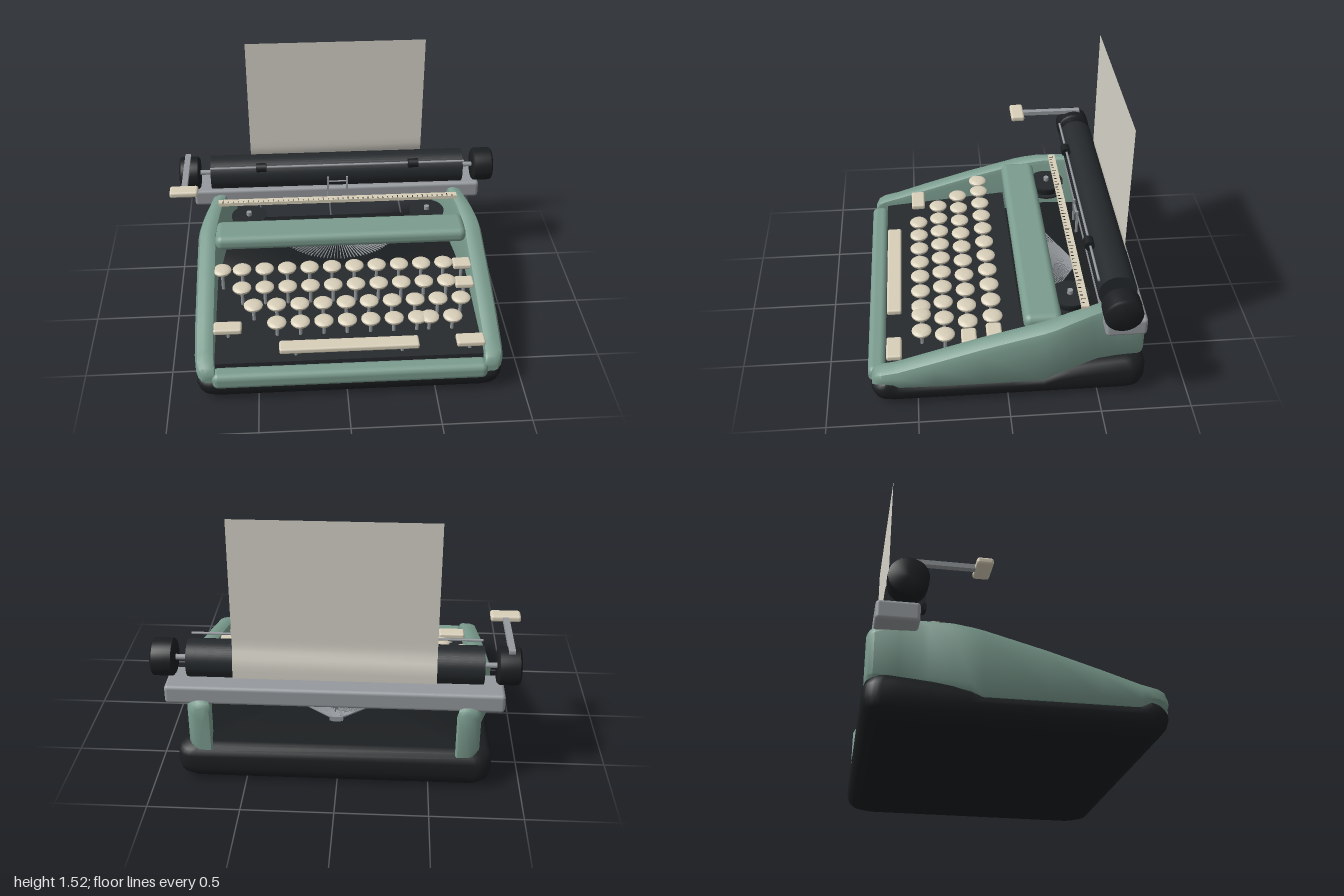
import * as THREE from 'three';
import { toCreasedNormals } from 'three/addons/utils/BufferGeometryUtils.js';
import { RoundedBoxGeometry } from 'three/addons/geometries/RoundedBoxGeometry.js';

const mat = (color) => new THREE.MeshStandardMaterial({ color });
const green = mat(0x7b9c8f), dark = mat(0x25292c), black = mat(0x1b1e20);
const steel = mat(0x95999d), cream = mat(0xd8cfb9);
const CX = 0.017; // body centre line

export function createModel() {
  const model = new THREE.Group();
  const add = (name, geo, material, x = 0, y = 0, z = 0, parent = model) => {
    const m = new THREE.Mesh(geo, material);
    m.name = name;
    m.position.set(x, y, z);
    parent.add(m);
    return m;
  };
  const group = (name) => {
    const g = new THREE.Group();
    g.name = name;
    model.add(g);
    return g;
  };
  const rbox = (w, h, d, r) => new RoundedBoxGeometry(w, h, d, 3, r);
  const cylX = (r, len, seg = 24) => new THREE.CylinderGeometry(r, r, len, seg).rotateZ(Math.PI / 2);

  // Piecewise linear lookup over [[z, value], ...] with z falling
  const lookup = (table, z) => {
    if (z >= table[0][0]) return table[0][1];
    for (let i = 1; i < table.length; i++) {
      const [z0, a] = table[i - 1], [z1, b] = table[i];
      if (z >= z1) return a + (b - a) * (z0 - z) / (z0 - z1);
    }
    return table[table.length - 1][1];
  };

  // Closed loft through rings of points, capped around each end's centroid
  const loft = (rings) => {
    const n = rings[0].length, pos = [];
    const tri = (...pts) => pts.forEach((p) => pos.push(...p));
    for (let k = 0; k + 1 < rings.length; k++)
      for (let i = 0; i < n; i++) {
        const j = (i + 1) % n, p = rings[k], q = rings[k + 1];
        tri(p[i], q[i], p[j]);
        tri(p[j], q[i], q[j]);
      }
    const cap = (ring, flip) => {
      const c = [0, 1, 2].map((a) => ring.reduce((s, p) => s + p[a], 0) / n);
      for (let i = 0; i < n; i++) {
        const a = ring[i], b = ring[(i + 1) % n];
        flip ? tri(c, b, a) : tri(c, a, b);
      }
    };
    cap(rings[0], false);
    cap(rings[rings.length - 1], true);
    const g = new THREE.BufferGeometry();
    g.setAttribute('position', new THREE.Float32BufferAttribute(pos, 3));
    return toCreasedNormals(g, 0.7);
  };

  // Base tub with a wavy upper rim
  const rim = [[0.75, 0.15], [0.66, 0.175], [0.6, 0.142], [-0.19, 0.14], [-0.25, 0.17],
    [-0.34, 0.19], [-0.45, 0.205], [-0.68, 0.225], [-0.77, 0.215]];
  const sideZ = [0.66, 0.63, 0.6, 0.3, 0, -0.19, -0.25, -0.34, -0.45, -0.58];
  const baseRing = (inset, yOf) => {
    const hw = 0.86 - inset, hd = 0.76 - inset, r = 0.09, ring = [];
    const put = (x, z) => ring.push([x + CX, yOf(z), z - 0.006]);
    for (let q = 0; q < 4; q++) {
      const sx = q === 0 || q === 3 ? 1 : -1, sz = q < 2 ? 1 : -1;
      for (let i = 0; i <= 6; i++) {
        const a = (q + i / 6) * Math.PI / 2;
        put(sx * (hw - r) + r * Math.cos(a), sz * (hd - r) + r * Math.sin(a));
      }
      if (q === 1) sideZ.forEach((z) => put(-hw, z * hd / 0.76));
      if (q === 3) [...sideZ].reverse().forEach((z) => put(hw, z * hd / 0.76));
    }
    return ring;
  };
  add('base', loft([[0.08, 0, 0], [0.035, 0.02, 0], [0.01, 0.05, 0], [0, 0.09, 0], [0, 0, 0.75],
    [0.012, 0, 0.9], [0.035, 0, 0.98], [0.07, 0, 1]]
    .map(([inset, y, f]) => baseRing(inset, (z) => y + f * lookup(rim, z)))), black);

  // Side panels: [z, top, outer, inner], folding inwards at the back
  const stations = [[0.745, 0.19, 0.825, 0.75], [0.725, 0.225, 0.845, 0.75], [0.69, 0.24, 0.858, 0.753],
    [0.63, 0.255, 0.865, 0.757], [0.6, 0.263, 0.868, 0.757], [0.4, 0.325, 0.872, 0.757],
    [0.13, 0.407, 0.872, 0.757], [-0.19, 0.493, 0.872, 0.757], [-0.25, 0.508, 0.866, 0.75],
    [-0.34, 0.532, 0.845, 0.735], [-0.45, 0.55, 0.812, 0.715], [-0.5, 0.556, 0.797, 0.7],
    [-0.6, 0.55, 0.79, 0.68], [-0.72, 0.51, 0.785, 0.665], [-0.745, 0.495, 0.77, 0.655],
    [-0.757, 0.475, 0.745, 0.665]];
  for (const s of [1, -1]) {
    const rings = stations.map(([z, t, o, i]) => {
      const b = lookup(rim, z) - 0.012, r = Math.min(0.05, (t - b) * 0.4);
      const ring = [[o - 0.02, b], [o, b + r * 0.6], [o, t - r], [o - r * 0.3, t - r * 0.3], [o - r, t],
        [i + r * 0.6, t], [i + r * 0.15, t - r * 0.2], [i, t - r * 0.7], [i, b]]
        .map(([x, y]) => [CX + s * x, y, z]);
      return s > 0 ? ring : ring.reverse();
    });
    add(s > 0 ? 'leftSidePanel' : 'rightSidePanel', loft(rings), green);
  }

  // Front bar, hood and sloping key deck
  add('frontBar', rbox(1.54, 0.1, 0.1, 0.035), green, CX, 0.147, 0.72);
  add('hood', rbox(1.53, 0.095, 0.21, 0.04), green, CX, 0.462, -0.193);
  const deckY = (z) => 0.205 + (0.67 - z) * 0.09;
  const deckShape = new THREE.Shape([[-0.67, 0.1], [0.1, 0.1], [0.1, deckY(-0.1)], [-0.67, deckY(0.67)]]
    .map(([x, y]) => new THREE.Vector2(x, y)));
  add('keyDeck', new THREE.ExtrudeGeometry(deckShape, { depth: 1.53, bevelEnabled: false })
    .translate(0, 0, -0.765).rotateY(Math.PI / 2), dark, CX);

  // Round keys, each a domed cap on a stem
  const keys = group('keys');
  const capGeo = toCreasedNormals(new THREE.LatheGeometry([[0, -0.02], [0.03, -0.02], [0.046, -0.012],
    [0.055, 0], [0.055, 0.008], [0.048, 0.015], [0.03, 0.019], [0, 0.02]]
    .map(([x, y]) => new THREE.Vector2(x, y)), 20), 0.7);
  const stem = (x, y, z) => add('keyStem', new THREE.CylinderGeometry(0.01, 0.01, y - deckY(z) + 0.02, 8),
    steel, x, (y + deckY(z) - 0.02) / 2, z, keys);
  const rows = [
    { z: 0.07, y: 0.395, start: -0.587, n: 10, extra: [-0.705] },
    { z: 0.207, y: 0.365, start: -0.587, n: 10, extra: [] },
    { z: 0.337, y: 0.338, start: -0.52, n: 10, extra: [] },
    { z: 0.465, y: 0.312, start: -0.387, n: 7, extra: [0.487, 0.62] }];
  for (const { z, y, start, n, extra } of rows) {
    const xs = [...Array.from({ length: n }, (_, i) => start + i * 0.134), ...extra];
    for (const x of xs) {
      add('key', capGeo, cream, x, y, z, keys);
      stem(x, y, z);
    }
  }
  // Bar-shaped keys: name, x, y, z, width
  for (const [name, x, y, z, w] of [['backspaceKey', 0.73, 0.385, 0.07, 0.11],
    ['returnKey', 0.725, 0.35, 0.207, 0.11], ['leftShiftKey', -0.667, 0.288, 0.465, 0.16],
    ['rightShiftKey', 0.7, 0.266, 0.62, 0.16], ['spaceBar', 0.016, 0.266, 0.62, 0.785]]) {
    add(name, rbox(w, 0.036, 0.085, 0.012), cream, x, y, z, keys);
    for (const sx of w > 0.5 ? [-0.3, 0.3] : [0]) stem(x + sx, y, z);
  }

  // Fan of type bars meeting at the printing point
  const basket = group('typeBars');
  for (let i = 0; i < 37; i++) {
    const t = i / 18 - 1, a = t * 1.05;
    const from = new THREE.Vector3(CX + 0.035 * t, 0.25, -0.47);
    const to = new THREE.Vector3(CX + 0.37 * Math.sin(a), 0.29, -0.47 + 0.3 * Math.cos(a) + 0.02);
    const bar = add('typeBar', new THREE.BoxGeometry(0.004, 0.008, from.distanceTo(to)), steel, 0, 0, 0, basket);
    bar.position.copy(from).lerp(to, 0.5);
    bar.lookAt(to);
    add('typeHead', new THREE.BoxGeometry(0.006, 0.03, 0.012), steel, from.x, 0.245, from.z - 0.01 * (1 - t * t), basket);
  }

  // Ribbon spools
  for (const x of [-0.545, 0.57]) {
    const spool = group('ribbonSpool');
    spool.position.set(x, 0, -0.365);
    for (const y of [0.425, 0.485]) add('spoolFlange', new THREE.CylinderGeometry(0.108, 0.108, 0.012, 32), dark, 0, y, 0, spool);
    add('ribbon', new THREE.CylinderGeometry(0.085, 0.085, 0.06, 32), black, 0, 0.455, 0, spool);
    add('spoolHub', new THREE.CylinderGeometry(0.016, 0.016, 0.03, 16), steel, 0, 0.5, 0, spool);
  }

  // Carriage: rail, platen and knobs
  add('carriageRail', rbox(1.81, 0.107, 0.222, 0.02), steel, CX, 0.53, -0.618);
  add('platen', cylX(0.104, 1.58, 48), dark, 0.015, 0.682, -0.578);
  add('platenAxle', cylX(0.015, 1.8, 12), steel, 0.015, 0.682, -0.578);
  const knobGeo = toCreasedNormals(new THREE.LatheGeometry([[0, -0.062], [0.09, -0.062], [0.102, -0.052],
    [0.104, 0], [0.102, 0.052], [0.09, 0.062], [0, 0.062]]
    .map(([x, y]) => new THREE.Vector2(x, y)), 36), 0.7).rotateZ(Math.PI / 2);
  add('rightKnob', knobGeo, black, -0.907, 0.682, -0.578);
  add('leftKnob', knobGeo, black, 0.938, 0.682, -0.578);

  // Paper sheet, curling in behind the platen
  const paperGeo = new THREE.PlaneGeometry(1.08, 0.9, 1, 24).translate(0.015, 1.07, -0.653);
  const pp = paperGeo.attributes.position;
  for (let i = 0; i < pp.count; i++) {
    const d = Math.max(0, 0.78 - pp.getY(i));
    pp.setZ(i, pp.getZ(i) - 0.03 * Math.sin(Math.min(1, d / 0.1) * Math.PI / 2));
  }
  paperGeo.computeVertexNormals();
  const paperMat = mat(0xd6d3c8);
  paperMat.side = THREE.DoubleSide;
  add('paper', paperGeo, paperMat);

  // Paper bail with rollers
  add('bailRod', cylX(0.007, 1.58, 10), steel, 0.015, 0.772, -0.472);
  for (const x of [-0.458, 0.486]) add('bailRoller', cylX(0.028, 0.062), black, x, 0.772, -0.468);

  // Type guide
  for (const x of [-0.045, 0.075]) add('typeGuidePost', new THREE.BoxGeometry(0.012, 0.15, 0.014), steel, x, 0.612, -0.468);
  add('typeGuideBar', cylX(0.005, 0.12, 8), steel, 0.015, 0.655, -0.468);

  // Margin scale with tick marks
  const scale = group('marginScale');
  add('scaleBar', new THREE.BoxGeometry(1.5, 0.022, 0.042), cream, 0.015, 0.55, -0.42, scale);
  for (let i = 0; i < 47; i++) {
    const len = i % 5 ? 0.016 : 0.026;
    add('scaleTick', new THREE.BoxGeometry(0.005, 0.002, len), dark, -0.705 + i * 0.0313, 0.5615, -0.402 - len / 2, scale);
  }

  // Carriage return lever
  add('returnLeverArm', new THREE.BoxGeometry(0.035, 0.025, 0.4), steel, -0.915, 0.782, -0.42);
  add('returnLeverHandle', rbox(0.168, 0.038, 0.085, 0.014), cream, -0.915, 0.783, -0.208);
  return model;
}
